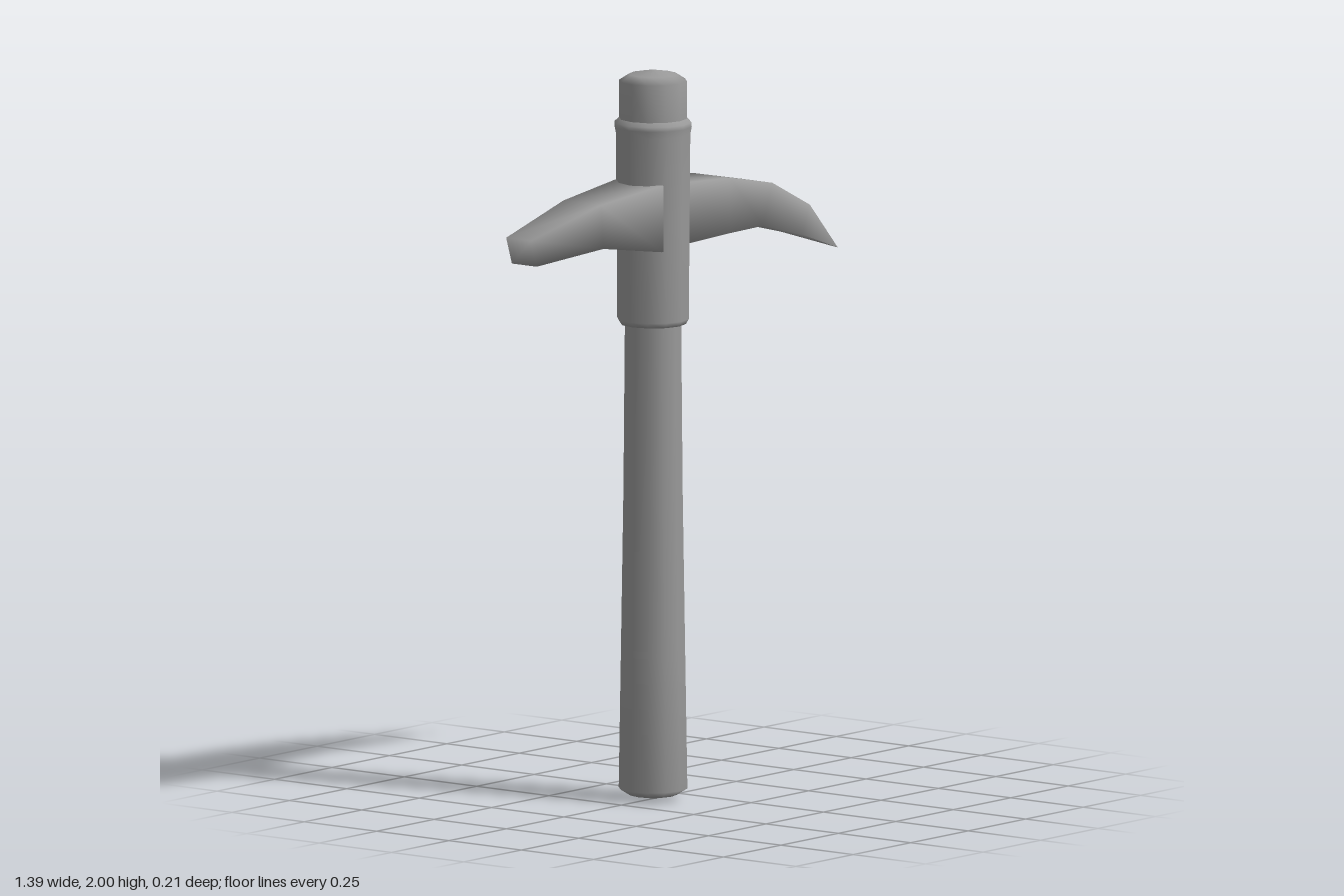
import * as THREE from 'three';

const SHAFT_X = -0.112;
const material = new THREE.MeshStandardMaterial({ color: 0x999999 });

// Smooth turned part around the shaft axis, profile given as [radius, y] from bottom to top
function turned(name, profile) {
  const points = profile.map(([r, y]) => new THREE.Vector2(r, y));
  const mesh = new THREE.Mesh(new THREE.LatheGeometry(points, 12), material);
  mesh.name = name;
  mesh.position.x = SHAFT_X;
  return mesh;
}

// Four-cornered bar swept along x: [topX, topY, bottomX, bottomY, halfWidth]
function bladeGeometry(stations) {
  const positions = [];
  const index = [];
  for (const [tx, ty, bx, by, w] of stations) {
    positions.push(tx, ty, w, tx, ty, -w, bx, by, -w, bx, by, w);
  }
  for (let i = 0; i < stations.length - 1; i++) {
    for (let k = 0; k < 4; k++) {
      const a = i * 4 + k;
      const b = i * 4 + (k + 1) % 4;
      index.push(a, a + 4, b, b, a + 4, b + 4);
    }
  }
  // Flat end of the chisel arm
  index.push(0, 1, 2, 0, 2, 3);
  const geometry = new THREE.BufferGeometry();
  geometry.setAttribute('position', new THREE.Float32BufferAttribute(positions, 3));
  geometry.setIndex(index);
  geometry.computeVertexNormals();
  return geometry;
}

export function createModel() {
  const group = new THREE.Group();
  group.name = 'pickaxe';

  // Wooden shaft, slightly flared at the foot
  group.add(turned('handle', [
    [0, 0], [0.065, 0.012], [0.094, 0.03], [0.088, 0.4], [0.081, 0.85], [0.077, 1.32],
  ]));

  // Sleeve that holds the head, flaring gently to a soft rim at the top
  group.add(turned('collar', [
    [0.074, 1.302], [0.09, 1.304], [0.098, 1.318], [0.1, 1.6], [0.102, 1.825],
    [0.106, 1.845], [0.105, 1.857], [0.09, 1.87],
  ]));

  // Rounded shaft end above the sleeve
  group.add(turned('handleTop', [
    [0.093, 1.84], [0.093, 1.97], [0.065, 1.988], [0, 2],
  ]));

  // Head: chisel arm on one side, pointed arm on the other
  const head = new THREE.Mesh(bladeGeometry([
    [-0.697, 1.61, -0.672, 1.536, 0.043],
    [-0.42, 1.674, -0.41, 1.553, 0.065],
    [-0.175, 1.698, -0.175, 1.515, 0.081],
    [-0.05, 1.69, -0.05, 1.522, 0.073],
    [0.14, 1.677, 0.14, 1.525, 0.066],
    [0.34, 1.636, 0.3, 1.523, 0.053],
    [0.525, 1.55, 0.49, 1.473, 0.036],
    [0.692, 1.407, 0.692, 1.407, 0],
  ]), material);
  head.name = 'head';
  group.add(head);

  return group;
}
